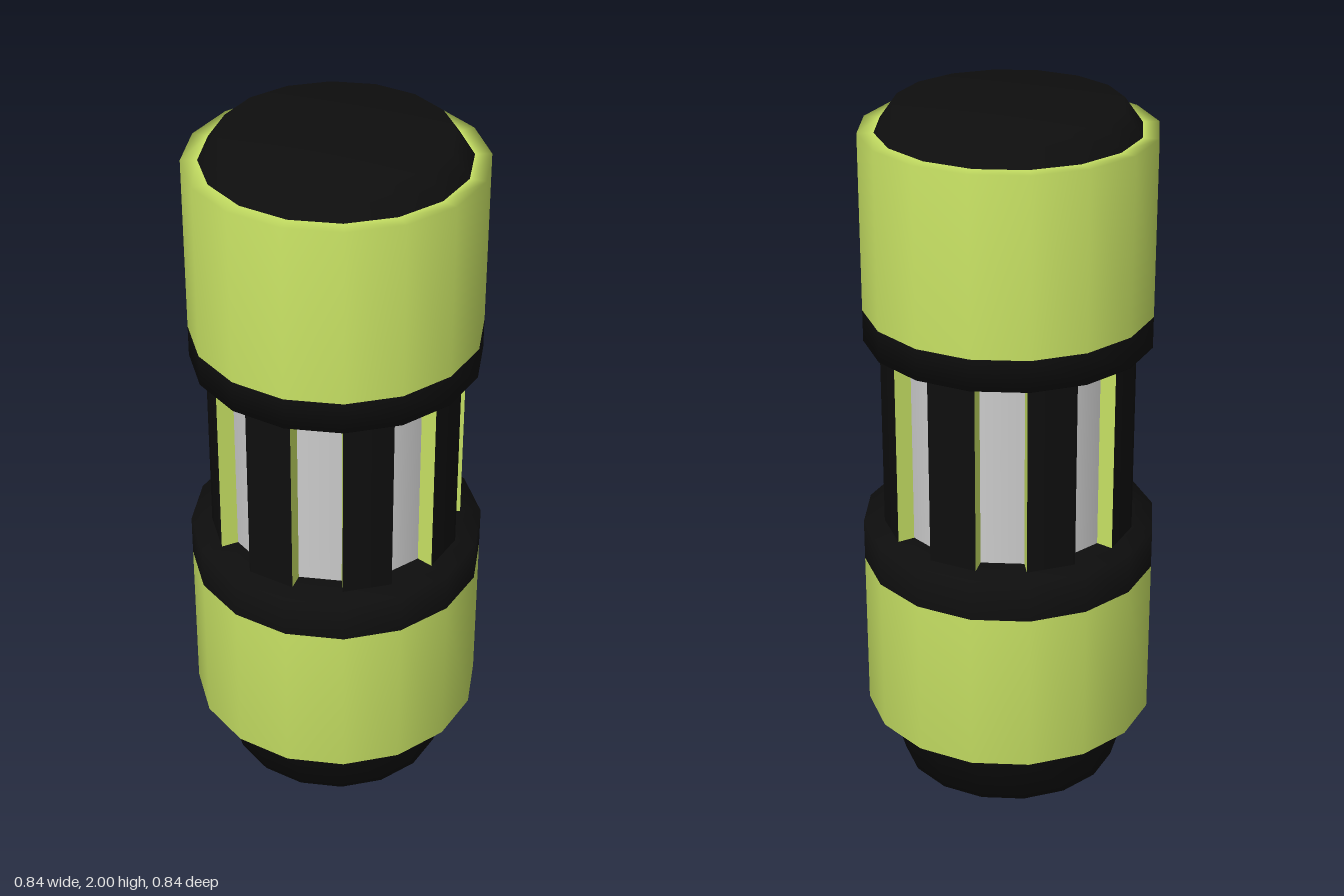
import * as THREE from 'three';

const SIDES = 16;
const STEP = (Math.PI * 2) / SIDES;
const CORE_R = 0.31, BAR_R = 0.36;
const GRIP_BOTTOM = 0.78, GRIP_TOP = 1.34;

const green = new THREE.MeshStandardMaterial({ color: 0xc8e264 });
const greenThin = new THREE.MeshStandardMaterial({ color: 0xc8e264, side: THREE.DoubleSide });
const black = new THREE.MeshStandardMaterial({ color: 0x0e0e0e });
const grey = new THREE.MeshStandardMaterial({ color: 0xcccccc });

export function createModel() {
  const model = new THREE.Group();
  model.name = 'canister';

  const add = (parent, name, geometry, material) => {
    const mesh = new THREE.Mesh(geometry, material);
    mesh.name = name;
    parent.add(mesh);
    return mesh;
  };

  // Turned part from [radius, height] pairs, listed bottom to top
  const turned = (name, points, material) =>
    add(model, name, new THREE.LatheGeometry(points.map(([r, y]) => new THREE.Vector2(r, y)), SIDES), material);

  // Tapered end caps
  turned('bottomCap', [[0, 0], [0.315, 0], [0.37, 0.19]], black);
  turned('topCap', [[0.36, 1.93], [0.31, 2], [0, 2]], black);

  // Coloured sleeves with softly shaded shoulders
  turned('lowerSleeve', [[0.37, 0.19], [0.42, 0.19], [0.42, 0.66]], green);
  turned('upperSleeve', [[0.405, 1.43], [0.405, 1.93], [0.36, 1.93]], green);

  // Collars on either side of the grip
  turned('lowerCollar', [[0.42, 0.66], [0.42, GRIP_BOTTOM], [CORE_R, GRIP_BOTTOM]], black);
  turned('upperCollar', [[CORE_R, GRIP_TOP], [0.405, GRIP_TOP], [0.405, 1.43]], black);

  // Recessed core seen between the bars
  turned('core', [[CORE_R, GRIP_BOTTOM], [CORE_R, GRIP_TOP]], grey);

  // Bars on every other facet, each with two coloured radial sides
  const height = GRIP_TOP - GRIP_BOTTOM;
  const middle = (GRIP_TOP + GRIP_BOTTOM) / 2;
  const outline = [new THREE.Vector2(BAR_R, GRIP_BOTTOM), new THREE.Vector2(BAR_R, GRIP_TOP)];
  for (let i = 1; i < SIDES; i += 2) {
    const bar = new THREE.Group();
    bar.name = 'gripBar';
    add(bar, 'barFace', new THREE.LatheGeometry(outline, 1, i * STEP, STEP), black);
    for (const angle of [i * STEP, (i + 1) * STEP]) {
      const side = new THREE.PlaneGeometry(BAR_R - CORE_R, height);
      side.translate((BAR_R + CORE_R) / 2, middle, 0);
      side.rotateY(angle - Math.PI / 2);
      add(bar, 'barSide', side, greenThin);
    }
    model.add(bar);
  }

  return model;
}
